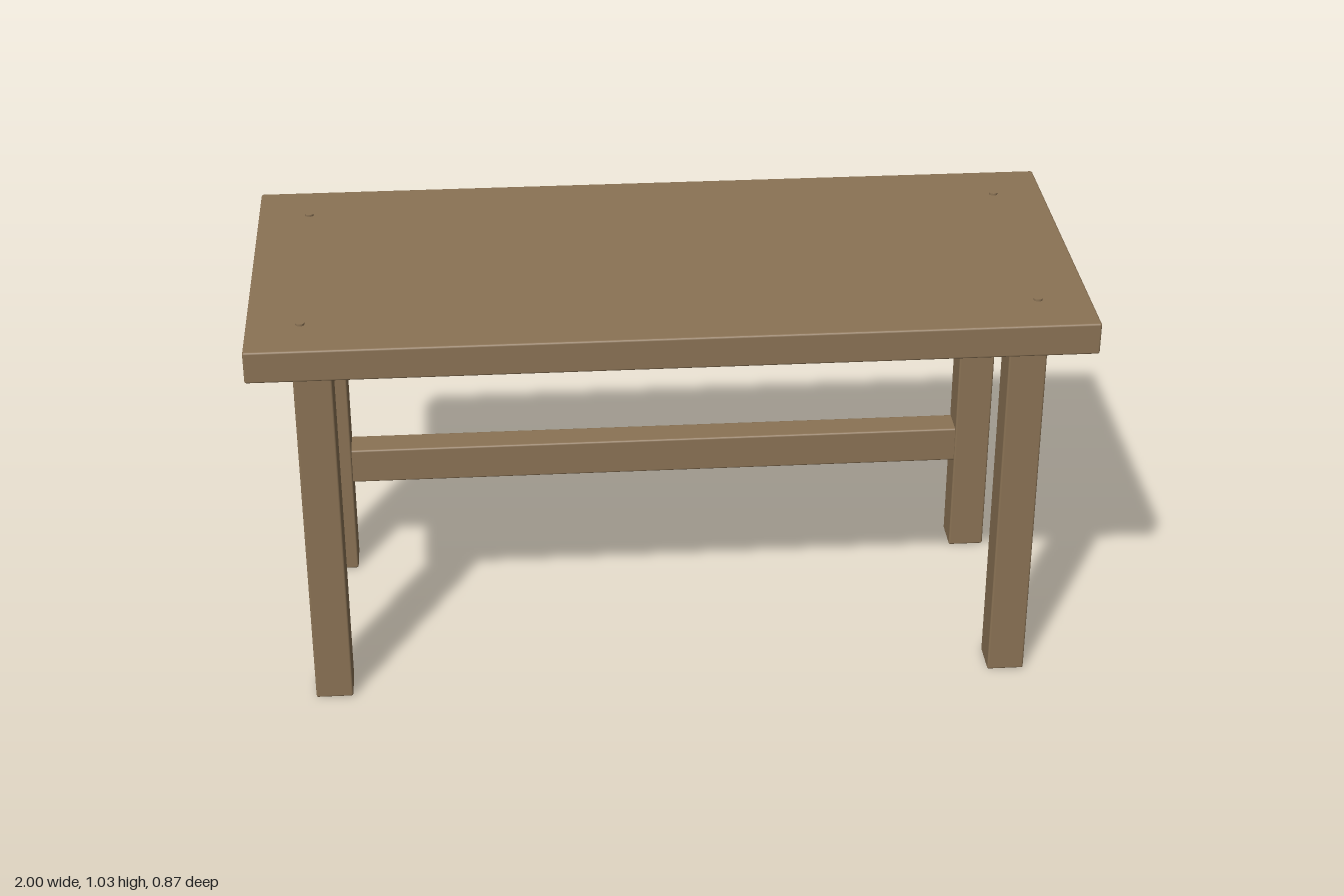
import * as THREE from 'three';
import { RoundedBoxGeometry } from 'three/addons/geometries/RoundedBoxGeometry.js';

export function createModel() {
  const group = new THREE.Group();
  group.name = 'table';
  const wood = new THREE.MeshStandardMaterial({ color: 0x8b7355 });
  wood.name = 'wood';

  const add = (name, geometry, x, y, z) => {
    const mesh = new THREE.Mesh(geometry, wood);
    mesh.name = name;
    mesh.position.set(x, y, z);
    group.add(mesh);
  };

  // Table top with softened edges
  add('tableTop', new RoundedBoxGeometry(2, 0.08, 0.872, 2, 0.005), 0, 0.99, 0);

  // Four legs, each with a small peg head showing through the top
  const leg = new RoundedBoxGeometry(0.092, 0.952, 0.092, 2, 0.005);
  const peg = new THREE.CylinderGeometry(0.011, 0.011, 0.01, 12);
  for (const sx of [-1, 1]) {
    for (const sz of [-1, 1]) {
      const side = (sz > 0 ? 'front' : 'back') + (sx > 0 ? 'Left' : 'Right');
      add(side + 'Leg', leg, sx * 0.85, 0.476, sz * 0.3);
      add(side + 'Peg', peg, sx * 0.873, 1.03, sz * 0.3);
    }
  }

  // Stretcher between the back legs
  add('backStretcher', new RoundedBoxGeometry(1.62, 0.096, 0.08, 2, 0.005), 0, 0.313, -0.3);

  return group;
}
